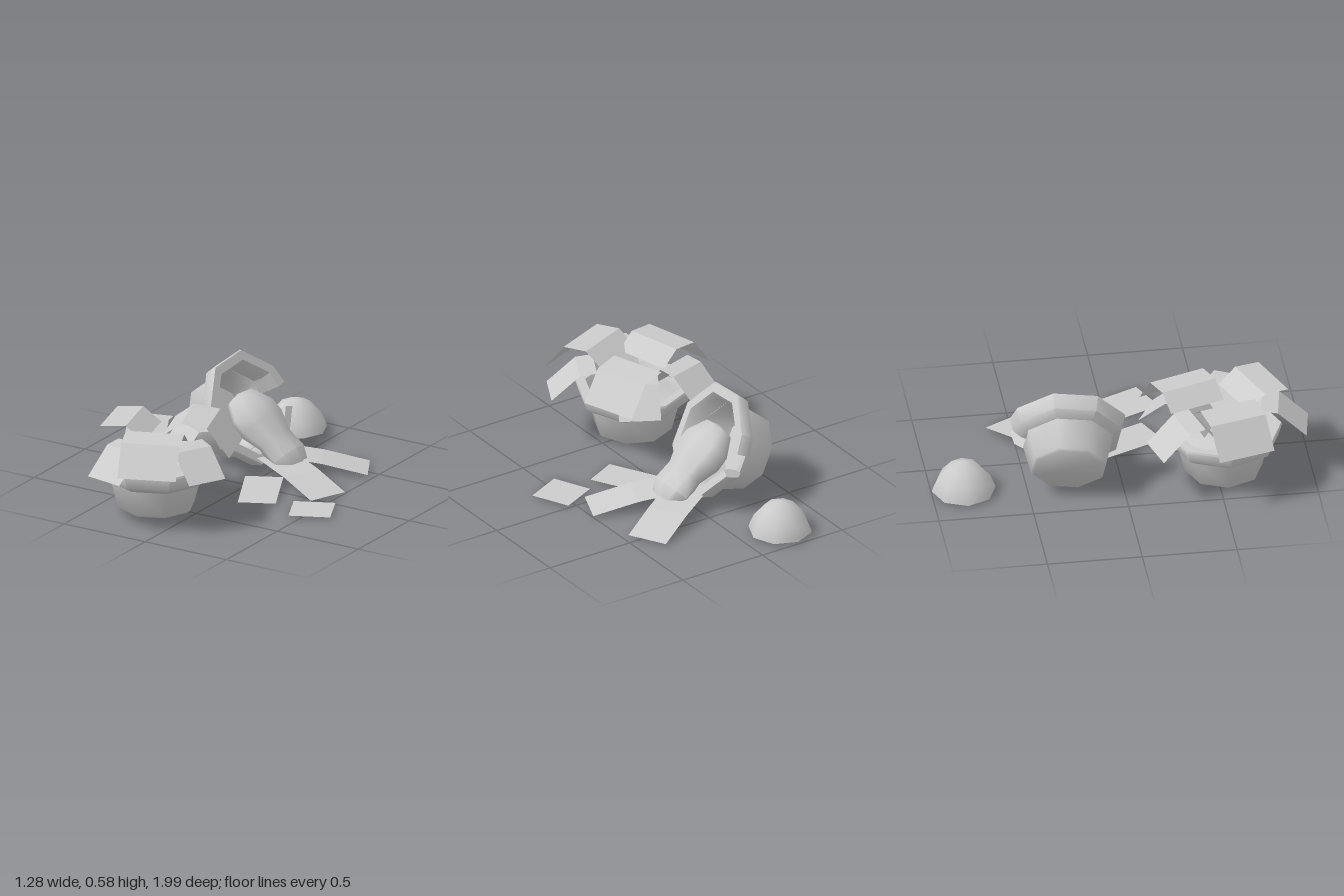
import * as THREE from 'three';
import { toCreasedNormals, mergeVertices } from 'three/addons/utils/BufferGeometryUtils.js';

const SIDES = 8;
const solid = new THREE.MeshStandardMaterial({ color: 0xcccccc });
const thin = new THREE.MeshStandardMaterial({ color: 0xcccccc, side: THREE.DoubleSide });

const rad = THREE.MathUtils.degToRad;
const points = (profile) => profile.map(([r, y]) => new THREE.Vector2(r, y));

function addMesh(parent, name, geometry, material = solid) {
  const mesh = new THREE.Mesh(geometry, material);
  mesh.name = name;
  parent.add(mesh);
  return mesh;
}

// Low-poly turned shape: smooth around, sharp at strong edges
function turned(profile, start = 0, length = 360, sides = SIDES) {
  const lathe = new THREE.LatheGeometry(points(profile), sides, rad(start), rad(length));
  lathe.deleteAttribute('normal');
  lathe.deleteAttribute('uv');
  return toCreasedNormals(mergeVertices(lathe), 0.9);
}

// Pot with a thick rim built from arcs [start, length, sides]; brokenEnds get caps
function makePot(name, bodyStart, rimArcs, brokenEnds) {
  const pot = new THREE.Group();
  pot.name = name;
  addMesh(pot, 'potBody', turned([
    [0, 0], [0.19, 0], [0.205, 0.012], [0.243, 0.16], [0.22, 0.17], [0.18, 0.04], [0, 0.04],
  ], bodyStart));
  const rim = [[0.22, 0.15], [0.245, 0.155], [0.29, 0.185], [0.31, 0.25], [0.305, 0.26],
    [0.255, 0.26], [0.23, 0.22], [0.22, 0.15]];
  for (const [start, length, sides] of rimArcs) {
    addMesh(pot, 'potRim', turned(rim, start, length, sides));
  }
  for (const angle of brokenEnds) {
    const cap = addMesh(pot, 'brokenRimEnd', new THREE.ShapeGeometry(new THREE.Shape(points(rim))), thin);
    cap.rotation.y = rad(angle - 90);
  }
  return pot;
}

// Folded strip with its tip at (x, z), pointing outward at an angle in degrees.
// Each fold gives the distance back from the tip and the height there.
function addLeaf(parent, name, { width, folds }, x, z, degrees) {
  const strip = new THREE.PlaneGeometry(1, 1, 1, folds.length - 1);
  const position = strip.attributes.position;
  folds.forEach(([back, height], row) => {
    position.setXYZ(2 * row, -back, height, -width / 2);
    position.setXYZ(2 * row + 1, -back, height, width / 2);
  });
  const geometry = strip.toNonIndexed();
  geometry.computeVertexNormals();
  const leaf = addMesh(parent, name, geometry, thin);
  leaf.position.set(x, 0, z);
  leaf.rotation.y = -rad(degrees);
}

export function createModel() {
  const model = new THREE.Group();
  model.name = 'brokenPottedPlants';

  // Standing pot with soil
  const standing = makePot('standingPot', 0, [[0, 360, SIDES]], []);
  standing.position.set(-0.22, 0.02, 0.54);
  addMesh(standing, 'soil', turned([[0.23, 0.2], [0.13, 0.225], [0, 0.24]]));
  model.add(standing);

  // Large upper leaves of the standing plant
  const upper = { width: 0.31, folds: [[0, 0.325], [0.12, 0.48], [0.26, 0.495], [0.36, 0.42]] };
  for (const [x, z, angle] of [[-0.605, 0.61, 165], [-0.033, 0.935, 68], [0.11, 0.285, -19]]) {
    addLeaf(model, 'upperLeaf', upper, x, z, angle);
  }

  // Smaller lower leaves rooted in the soil
  const lower = { width: 0.22, folds: [[0, 0.285], [0.15, 0.42], [0.24, 0.43], [0.37, 0.26]] };
  for (const [x, z, angle] of [[-0.272, 0.975, 100], [0.198, 0.705, 27], [-0.435, 0.15, 254],
    [-0.01, 0.16, -61]]) {
    addLeaf(model, 'lowerLeaf', lower, x, z, angle);
  }

  // Tipped pot with a broken rim, opening up and to the side
  const tipped = makePot('tippedPot', 30, [[190, 20, 1], [210, 315, 7]], [190, 165]);
  tipped.rotation.set(0, -0.12, -1.1, 'YXZ');
  tipped.scale.y = 1.1;
  tipped.position.set(-0.395, 0.2, -0.3);
  model.add(tipped);

  // Flattened tongue of earth sliding out of the tipped pot
  const spill = addMesh(model, 'spilledSoil', turned([
    [0, 0], [0.1, 0.02], [0.165, 0.12], [0.17, 0.2], [0.125, 0.31], [0.135, 0.42], [0.09, 0.5], [0, 0.54],
  ]));
  spill.rotation.z = -2.31;
  spill.scale.x = 0.58;
  spill.position.set(-0.23, 0.385, -0.27);

  // Leaves sloping from the spilled soil to the ground, and two lying flat
  const sloping = { width: 0.22, folds: [[0, 0.018], [0.24, 0.075], [0.48, 0.11]] };
  addLeaf(model, 'slopingLeaf', sloping, 0.413, -0.535, -29);
  addLeaf(model, 'slopingLeaf', sloping, 0.46, -0.06, 22);
  addLeaf(model, 'flatLeaf', { width: 0.2, folds: [[0, 0.02], [0.37, 0.03]] }, 0.2, 0.225, 64);
  addLeaf(model, 'flatLeaf', { width: 0.22, folds: [[0, 0.02], [0.22, 0.02]] }, 0.54, 0.25, 65);

  // Small heap of earth
  const heap = addMesh(model, 'soilHeap', turned([
    [0, 0], [0.168, 0], [0.165, 0.015], [0.14, 0.075], [0.08, 0.143], [0, 0.172],
  ]));
  heap.position.set(-0.225, 0.02, -0.83);

  return model;
}
